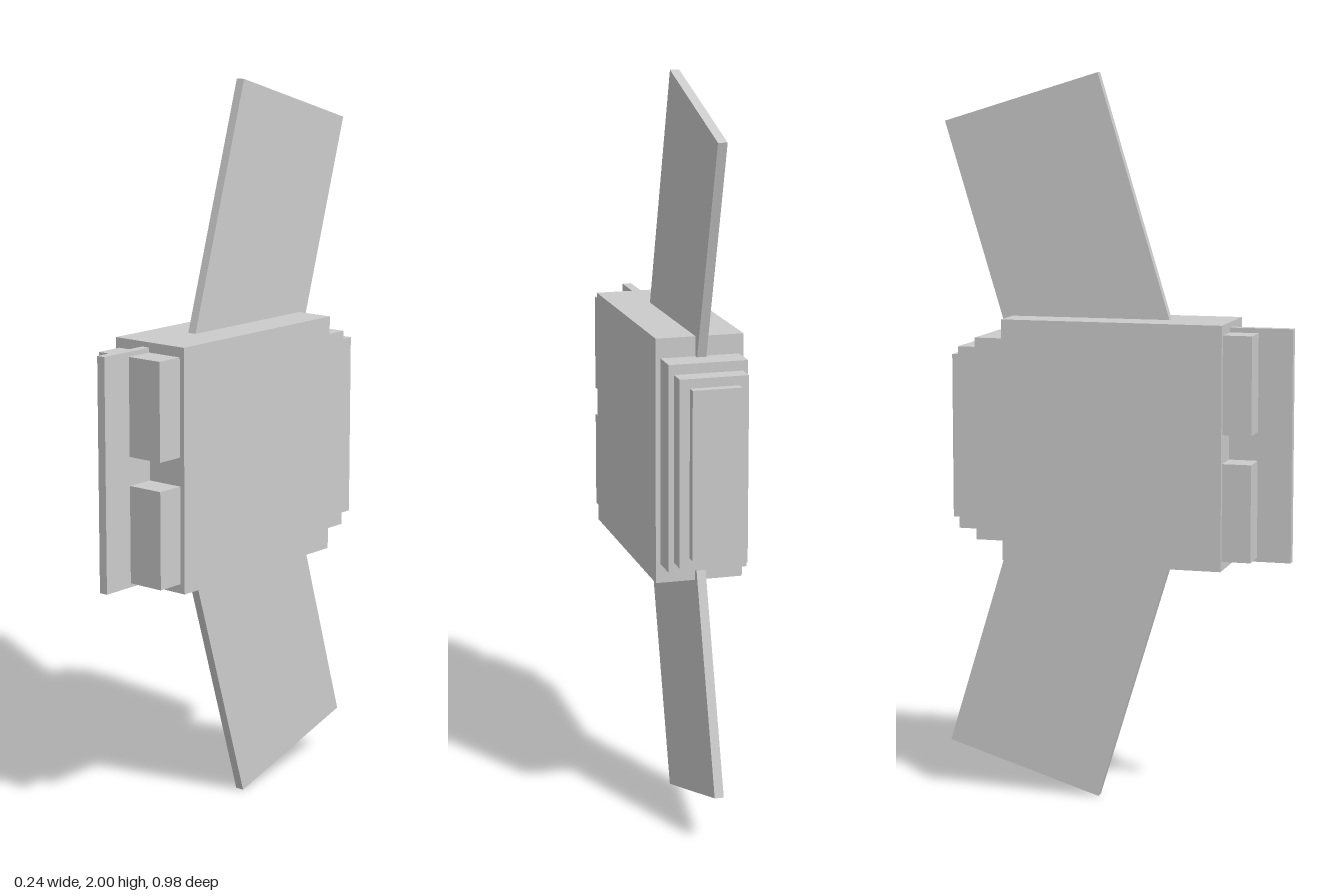
import * as THREE from 'three';

export function createModel() {
  const model = new THREE.Group();
  const material = new THREE.MeshStandardMaterial({ color: 0xcccccc, flatShading: true });

  // Box given by its extents along each axis
  function block(name, [x0, x1], [y0, y1], [z0, z1]) {
    const mesh = new THREE.Mesh(new THREE.BoxGeometry(x1 - x0, y1 - y0, z1 - z0), material);
    mesh.position.set((x0 + x1) / 2, (y0 + y1) / 2, (z0 + z1) / 2);
    mesh.name = name;
    model.add(mesh);
  }

  block('body', [-0.119, 0.119], [0.678, 1.34], [-0.296, 0.317]);

  // Stepped plates shrinking toward the back
  block('rearStepLarge', [-0.107, 0.106], [0.73, 1.287], [-0.375, -0.29]);
  block('rearStepMiddle', [-0.093, 0.092], [0.757, 1.26], [-0.428, -0.37]);
  block('rearStepSmall', [-0.067, 0.065], [0.783, 1.235], [-0.454, -0.42]);

  // Front pads with an upright fin through them
  block('upperFrontPad', [-0.107, 0.105], [1.047, 1.313], [0.31, 0.396]);
  block('lowerFrontPad', [-0.107, 0.105], [0.704, 0.969], [0.31, 0.396]);
  block('frontFin', [-0.026, -0.001], [0.693, 1.326], [0.31, 0.489]);

  // Swept panels, mirrored above and below the body
  for (const side of [1, -1]) {
    const panel = new THREE.Mesh(new THREE.BoxGeometry(0.025, 1, 0.453), material);
    panel.position.set(-0.001, 1 + side * 0.456, -0.125);
    panel.rotation.x = side * -0.295;
    panel.name = side > 0 ? 'upperPanel' : 'lowerPanel';
    model.add(panel);
  }
  return model;
}
